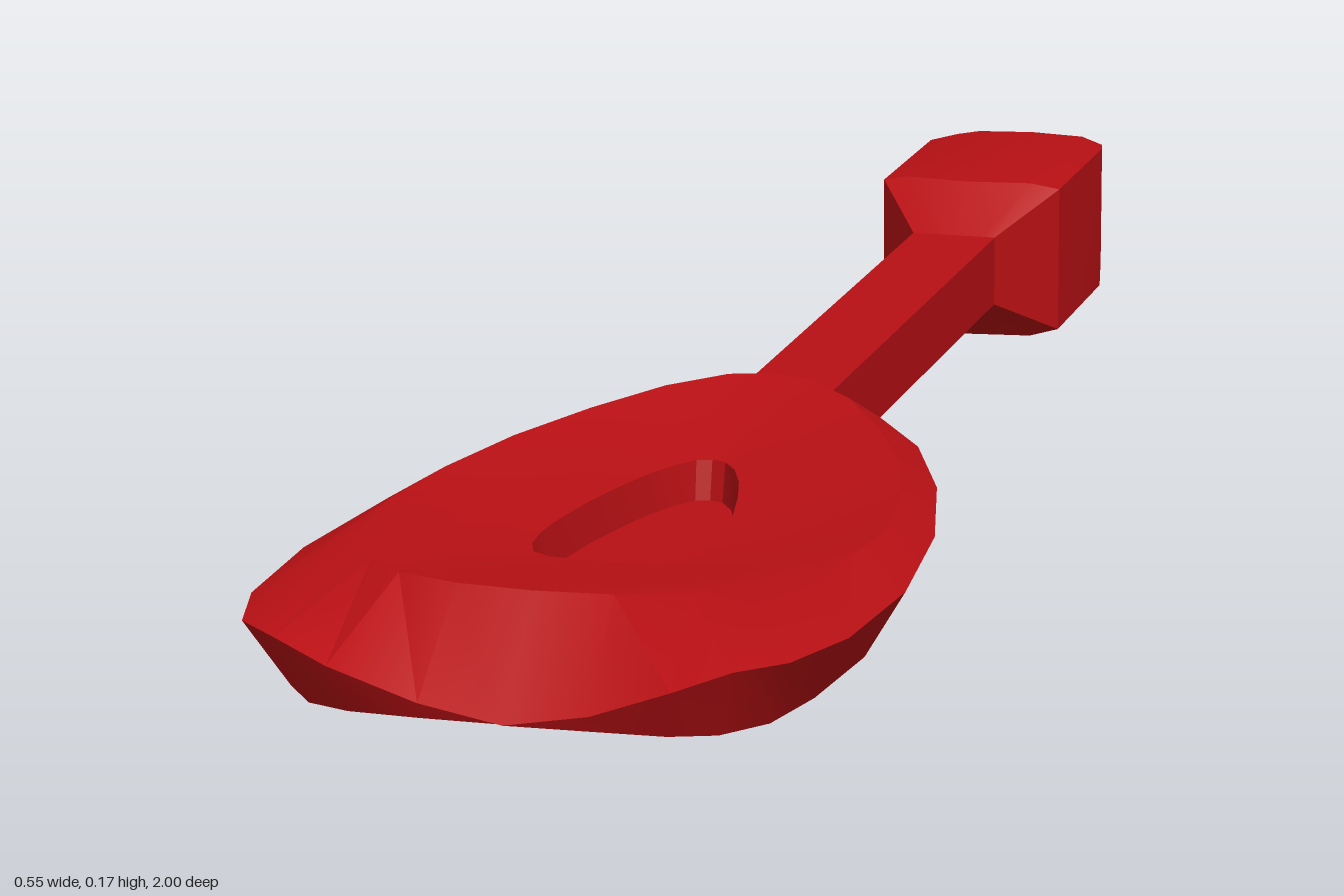
import * as THREE from 'three';
import { toCreasedNormals } from 'three/addons/utils/BufferGeometryUtils.js';

// Skin a list of closed rings (equal point counts) and cap both ends.
function loft(rings, crease) {
  const n = rings[0].length;
  const pos = [], index = [];
  rings.forEach((r) => r.forEach((p) => pos.push(...p)));
  for (let k = 0; k < rings.length - 1; k++) {
    for (let i = 0; i < n; i++) {
      const j = (i + 1) % n;
      const a = k * n + i, b = k * n + j, c = b + n, d = a + n;
      index.push(a, c, b, a, d, c);
    }
  }
  [0, rings.length - 1].forEach((k) => {
    const centre = [0, 1, 2].map((axis) => rings[k].reduce((s, p) => s + p[axis], 0) / n);
    const m = pos.length / 3;
    pos.push(...centre);
    for (let i = 0; i < n; i++) {
      const a = k * n + i, b = k * n + (i + 1) % n;
      if (k === 0) index.push(m, a, b);
      else index.push(m, b, a);
    }
  });
  const g = new THREE.BufferGeometry();
  g.setAttribute('position', new THREE.Float32BufferAttribute(pos, 3));
  g.setIndex(index);
  return toCreasedNormals(g, crease);
}

// Mirror a half outline of [x, z, y] points, back centre to front centre.
function ring(half, height) {
  const right = half.map(([x, z, y]) => [x, height ? height(x, z) : y, z]);
  const left = right.slice(1, -1).reverse().map(([x, y, z]) => [-x, y, z]);
  return [...right, ...left];
}

const mix = (a, b, t) => a.map((p, i) => p.map((v, k) => v + (b[i][k] - v) * t));

function bladeGeometry() {
  // Flat underside
  const bottom = ring([
    [0, 0.09], [0.04, 0.095], [0.09, 0.16], [0.145, 0.25], [0.19, 0.37], [0.222, 0.52], [0.236, 0.69],
    [0.228, 0.83], [0.212, 0.915], [0.18, 0.96], [0.14, 0.975], [0.075, 0.978], [0, 0.978],
  ], (x, z) => 0.048 + 0.01 * THREE.MathUtils.smoothstep(z, 0.5, 1));
  // Widest edge, dropping into a scooped lip at the front
  const edge = ring([
    [0, 0.07, 0.122], [0.045, 0.075, 0.122], [0.11, 0.14, 0.12], [0.17, 0.23, 0.118], [0.22, 0.36, 0.116],
    [0.257, 0.52, 0.115], [0.275, 0.7, 0.116], [0.266, 0.86, 0.12], [0.24, 0.955, 0.124],
    [0.2, 0.988, 0.122], [0.15, 1, 0.104], [0.075, 0.985, 0.073], [0, 0.987, 0.06],
  ]);
  // Oval rim, raised at both ends
  const rim = ring([
    [0, 0.13], [0.04, 0.14], [0.09, 0.185], [0.14, 0.265], [0.185, 0.365], [0.215, 0.48], [0.228, 0.6],
    [0.222, 0.68], [0.205, 0.75], [0.17, 0.82], [0.13, 0.865], [0.07, 0.892], [0, 0.9],
  ], (x, z) => 0.137 + 0.016 * ((z - 0.52) / 0.38) ** 2);
  // Teardrop recess
  const hole = ring([
    [0, 0.34], [0.014, 0.345], [0.03, 0.37], [0.045, 0.41], [0.058, 0.46], [0.07, 0.52], [0.078, 0.58],
    [0.08, 0.62], [0.077, 0.655], [0.068, 0.68], [0.05, 0.692], [0.025, 0.695], [0, 0.695],
  ], () => 0.122);
  const floor = hole.map(([x, , z]) => [x * 0.94, 0.085, 0.54 + (z - 0.54) * 0.96]);
  const dish = mix(rim, hole, 0.5).map(([x, y, z]) => [x, y - 0.003, z]);
  return loft([bottom, edge, rim, dish, hole, floor], 0.55);
}

// Chamfered section of the grip; bow pushes the middle backwards.
function gripSection(z, w, low, high, chamfer, bow = 0) {
  const half = [[0, high], [w * 0.7, high], [w, high - chamfer], [w, low + chamfer], [w * 0.7, low], [0, low]];
  const left = half.slice(1, -1).reverse().map(([x, y]) => [-x, y]);
  return [...half, ...left].map(([x, y]) => [x, y, z - bow * (1 - (x / w) ** 2)]);
}

export function createModel() {
  const group = new THREE.Group();
  const red = new THREE.MeshStandardMaterial({ color: 0xb81014 });
  const add = (name, geometry) => {
    const mesh = new THREE.Mesh(geometry, red);
    mesh.name = name;
    group.add(mesh);
    return mesh;
  };

  add('blade', bladeGeometry());

  const shaft = add('shaft', new THREE.BoxGeometry(0.09, 0.074, 0.77));
  shaft.position.set(0, 0.087, -0.265);

  // Blocky grip with a bowed end, tapering into the shaft
  add('grip', loft([
    gripSection(-0.98, 0.085, 0.012, 0.16, 0.006, 0.02),
    gripSection(-0.915, 0.098, 0, 0.17, 0.007, 0.015),
    gripSection(-0.7, 0.098, 0, 0.17, 0.007, -0.018),
    gripSection(-0.62, 0.045, 0.05, 0.124, 0),
  ], 0.5));

  return group;
}
